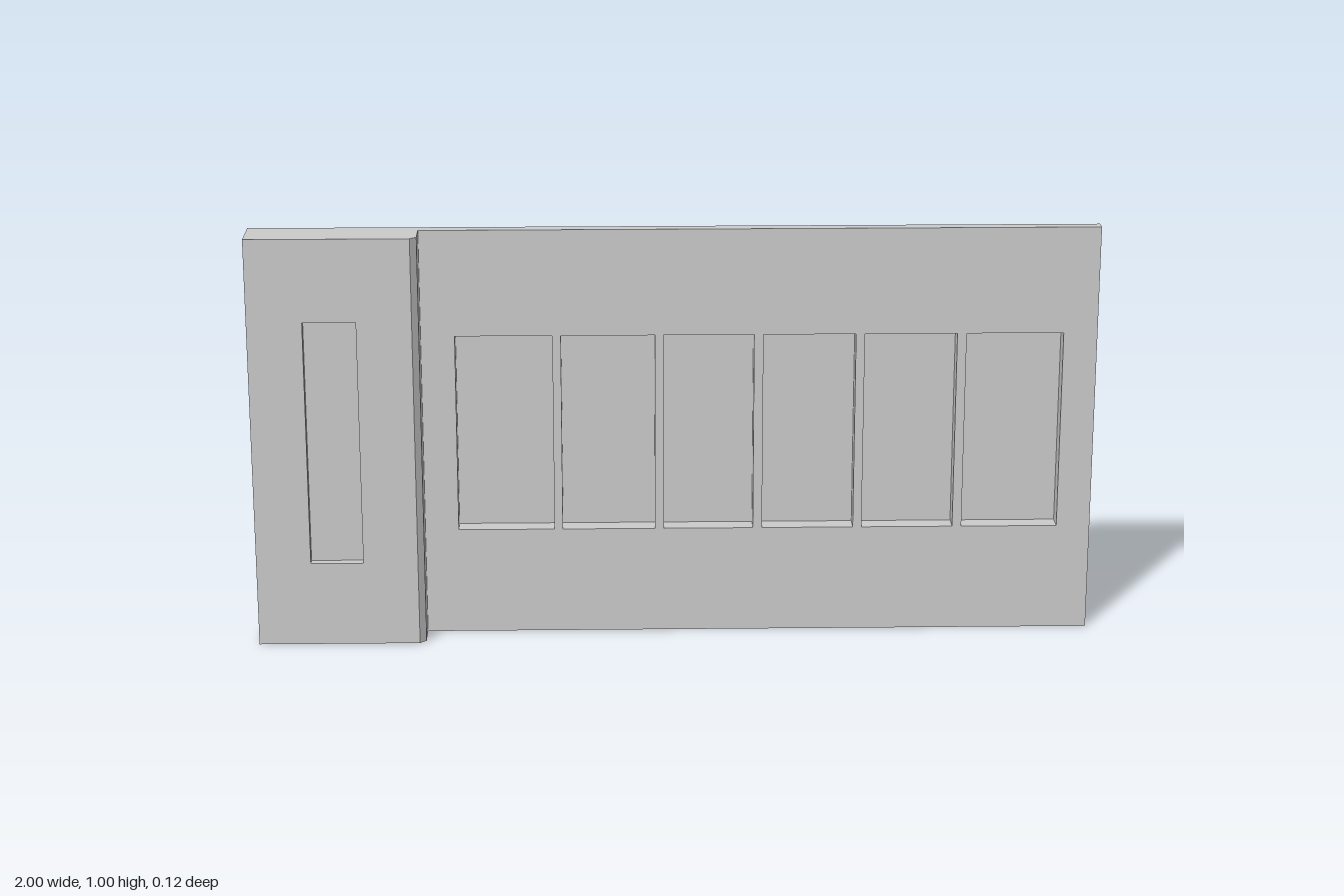
import * as THREE from 'three';

const Z = { plate: -0.062, back: -0.047, panel: -0.016, chamfer: 0.048, block: 0.063, slot: 0.041 };
const material = new THREE.MeshStandardMaterial({ color: 0xcccccc, side: THREE.DoubleSide, flatShading: true });

function mesh(name, geometry) {
  const m = new THREE.Mesh(geometry, material);
  m.name = name;
  return m;
}

// Closed loop of corner points, ordered counter-clockwise
const loop = (x0, x1, y0, y1) => [[x0, y0], [x1, y0], [x1, y1], [x0, y1]].map(([x, y]) => new THREE.Vector2(x, y));

// Flat sheet facing +z with optional openings
function sheet(name, outline, z, holes = []) {
  const shape = new THREE.Shape(outline);
  holes.forEach((h) => shape.holes.push(new THREE.Path(h)));
  return mesh(name, new THREE.ShapeGeometry(shape).translate(0, 0, z));
}

// Flat-shaded polygons, each given as a fan of corners
function faces(name, polygons) {
  const pos = [];
  for (const p of polygons) {
    for (let i = 1; i < p.length - 1; i++) pos.push(...p[0], ...p[i], ...p[i + 1]);
  }
  const g = new THREE.BufferGeometry();
  g.setAttribute('position', new THREE.Float32BufferAttribute(pos, 3));
  g.computeVertexNormals();
  return mesh(name, g);
}

// Walls following a loop between two depths
function walls(name, points, z0, z1) {
  return faces(name, points.map((a, i) => {
    const b = points[(i + 1) % points.length];
    return [[a.x, a.y, z0], [b.x, b.y, z0], [b.x, b.y, z1], [a.x, a.y, z1]];
  }));
}

export function createModel() {
  const model = new THREE.Group();
  model.name = 'switchPanel';

  // Thin main panel: open-backed shell with six window openings
  const windows = [[-0.52, -0.29], [-0.27, -0.048], [-0.027, 0.187], [0.209, 0.428], [0.449, 0.668], [0.69, 0.92]]
    .map(([a, b]) => loop(a, b, 0.26, 0.743));
  const panel = loop(-0.6, 1, 0, 1);
  model.add(sheet('panelFront', panel, Z.panel, windows));
  model.add(walls('panelRim', panel, Z.back, Z.panel));

  // Recess walls and the single plate closing all windows behind
  windows.forEach((w, i) => model.add(walls(`windowRecess${i + 1}`, w, Z.panel, Z.plate)));
  model.add(sheet('windowBackPlate', loop(-0.52, 0.92, 0.26, 0.743), Z.plate));

  // Thick end block: open-backed shell with a chamfered inner edge
  const xs = -0.615, xe = -0.6;
  const profile = [[-1, Z.back], [-1, Z.block], [xs, Z.block], [xe, Z.chamfer], [xe, Z.back]];
  const top = profile.map(([x, z]) => [x, 1, z]);
  const bottom = profile.map(([x, z]) => [x, 0, z]).reverse();
  const sides = [0, 2, 3].map((i) => {
    const [a, b] = [profile[i], profile[i + 1]];
    return [[a[0], 0, a[1]], [b[0], 0, b[1]], [b[0], 1, b[1]], [a[0], 1, a[1]]];
  });
  model.add(faces('blockShell', [top, bottom, ...sides]));

  // Shallow recessed handle slot in the block
  const slot = loop(-0.87, -0.745, 0.205, 0.8);
  model.add(sheet('blockFront', loop(-1, xs, 0, 1), Z.block, [slot]));
  model.add(walls('slotWalls', slot, Z.block, Z.slot));
  model.add(sheet('slotFloor', slot, Z.slot));

  return model;
}
